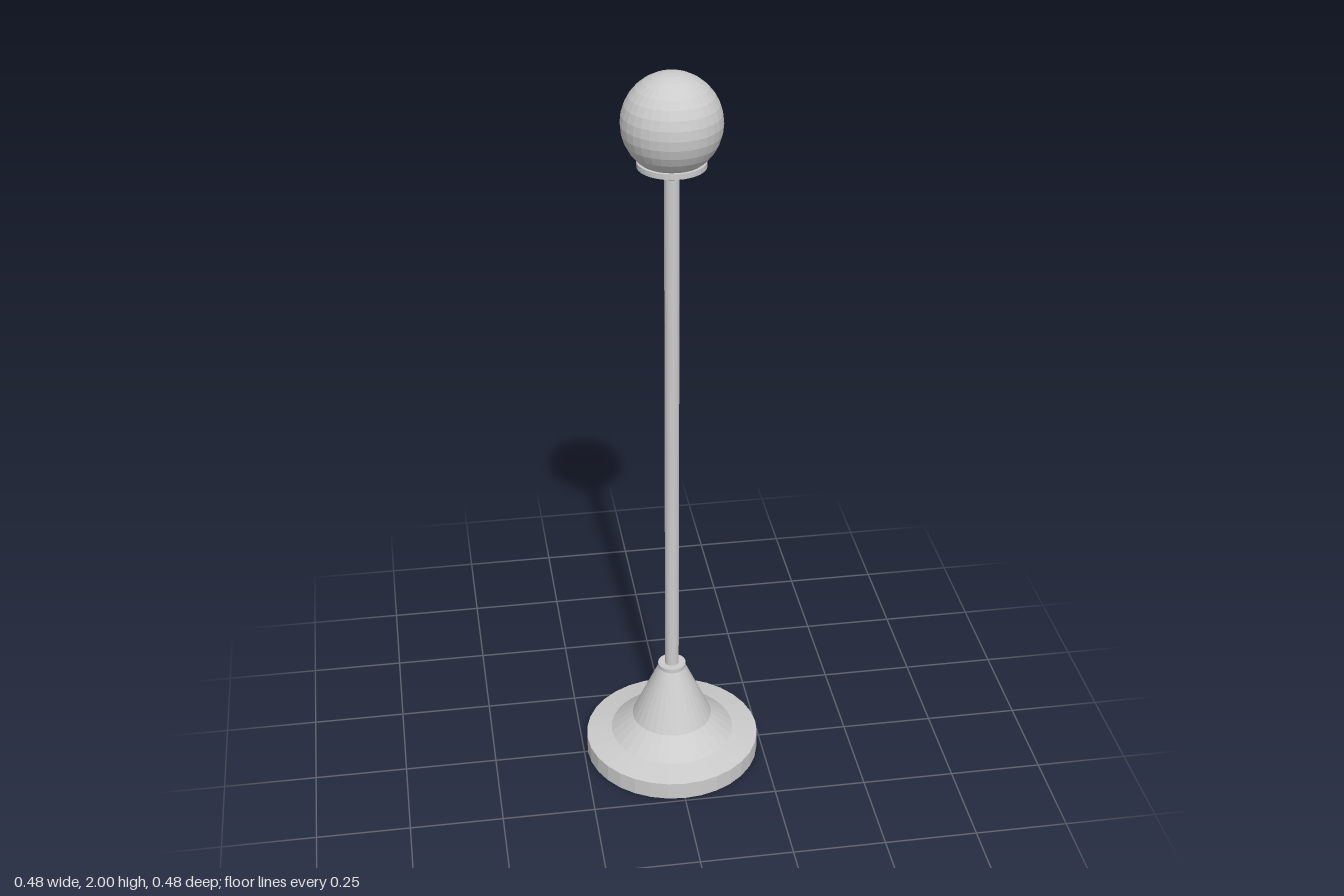
import * as THREE from 'three';

const SIDES = 32;
const material = new THREE.MeshStandardMaterial({ color: 0xcccccc, flatShading: true });

export function createModel() {
  const model = new THREE.Group();

  const add = (name, geometry, y = 0) => {
    const mesh = new THREE.Mesh(geometry, material);
    mesh.name = name;
    mesh.position.y = y;
    model.add(mesh);
  };
  // Turned part from [radius, height] pairs, bottom to top
  const turned = (points) =>
    new THREE.LatheGeometry(points.map(([r, y]) => new THREE.Vector2(r, y)), SIDES);

  // Round foot flaring up into a tapered neck with a small collar
  add('base', turned([
    [0, 0], [0.24, 0], [0.24, 0.05], [0.17, 0.065], [0.11, 0.115],
    [0.038, 0.275], [0.038, 0.287], [0, 0.287],
  ]));

  // Slender upright
  add('pole', new THREE.CylinderGeometry(0.019, 0.019, 1.48, SIDES, 1, true), 1.01);

  // Shallow cup holding the ball
  add('cup', turned([
    [0, 1.735], [0.02, 1.735], [0.086, 1.764], [0.086, 1.778], [0, 1.778],
  ]));

  // Ball on top
  add('ball', new THREE.SphereGeometry(0.125, SIDES, 16), 1.875);

  return model;
}
